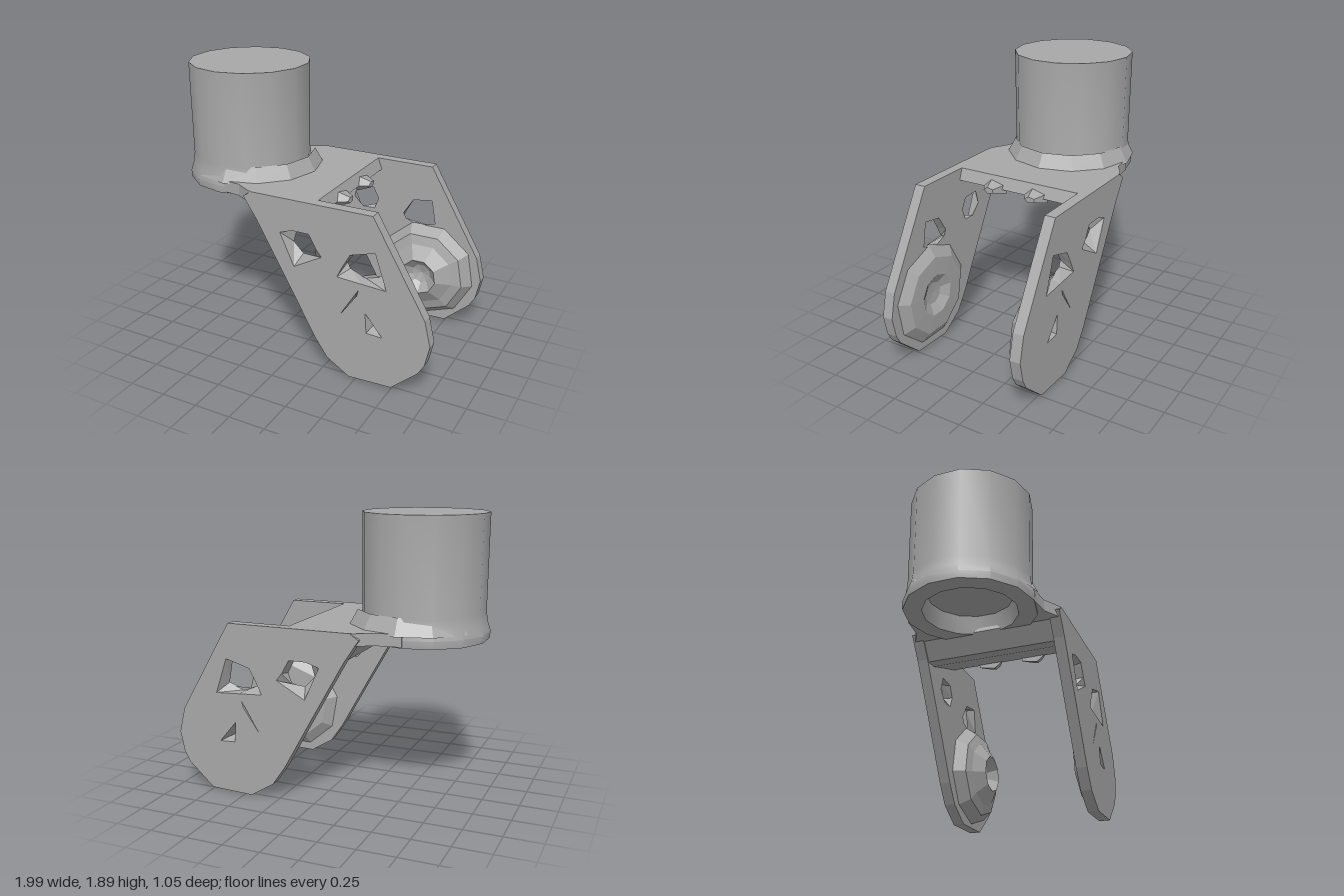
import * as THREE from 'three';
import { toCreasedNormals } from 'three/addons/utils/BufferGeometryUtils.js';

const grey = new THREE.MeshStandardMaterial({ color: 0xa8a8a8 });
grey.name = 'grey metal';

const vecs = (list) => list.map(([x, y]) => new THREE.Vector2(x, y));

function addPart(parent, name, geometry) {
  const mesh = new THREE.Mesh(geometry, grey);
  mesh.name = name;
  parent.add(mesh);
  return mesh;
}

// Non-indexed copy with faceted normals
function faceted(geometry) {
  const g = geometry.index ? geometry.toNonIndexed() : geometry;
  g.computeVertexNormals();
  return g;
}

// Plate whose contours may differ between its outer and inner faces (flared holes)
function flaredPlate(outline, holes, zOut, zIn) {
  const pos = [];
  const face = (side, z, flip) => {
    const shape = new THREE.Shape(vecs(outline));
    holes.forEach((h) => shape.holes.push(new THREE.Path(vecs(h[side]))));
    const p = new THREE.ShapeGeometry(shape).toNonIndexed().attributes.position;
    for (let i = 0; i < p.count; i += 3) {
      for (const k of flip ? [0, 2, 1] : [0, 1, 2]) pos.push(p.getX(i + k), p.getY(i + k), z);
    }
  };
  const wall = (out, inn) => {
    out.forEach((a, i) => {
      const j = (i + 1) % out.length;
      const b = out[j], c = inn[i], d = inn[j];
      pos.push(...a, zOut, ...c, zIn, ...d, zIn, ...a, zOut, ...d, zIn, ...b, zOut);
    });
  };
  face('outer', zOut, false);
  face('inner', zIn, true);
  wall(outline, outline);
  holes.forEach((h) => wall([...h.outer].reverse(), [...h.inner].reverse()));
  const g = new THREE.BufferGeometry();
  g.setAttribute('position', new THREE.Float32BufferAttribute(pos, 3));
  return faceted(g);
}

// Mirror across z, restoring the corner order
function mirrorZ(geometry) {
  const g = geometry.clone(), p = g.attributes.position;
  for (let i = 0; i < p.count; i += 3) {
    const v = [0, 2, 1].map((k) => new THREE.Vector3().fromBufferAttribute(p, i + k));
    v.forEach((q, k) => p.setXYZ(i + k, q.x, q.y, -q.z));
  }
  g.computeVertexNormals();
  return g;
}

export function createModel() {
  const model = new THREE.Group();
  model.name = 'casterFork';

  // Stem with flared foot and a recess underneath
  const stem = new THREE.LatheGeometry(vecs([
    [0, 1.21], [0.28, 1.21], [0.31, 1.09], [0.43, 1.09], [0.435, 1.14],
    [0.415, 1.2], [0.405, 1.27], [0.41, 1.9], [0, 1.9],
  ]), 14);
  addPart(model, 'stem', toCreasedNormals(stem, 0.6)).position.set(-0.565, 0, 0.01);

  // Sloped collar blending the stem into the bridge
  const collar = new THREE.CylinderGeometry(0.395, 0.455, 0.11, 12, 1, true);
  addPart(model, 'collar', faceted(collar)).position.set(-0.525, 1.22, 0);

  // Flat apron from the stem foot to the fork, cut around the recess
  const apron = new THREE.Shape();
  apron.moveTo(-0.565, -0.43);
  [[-0.4, -0.45], [-0.28, -0.52], [0.05, -0.52], [0.05, 0.52], [-0.28, 0.52],
    [-0.4, 0.45], [-0.565, 0.43]].forEach(([x, z]) => apron.lineTo(x, z));
  apron.absarc(-0.565, 0, 0.35, Math.PI / 2, -Math.PI / 2, true);
  const apronGeo = new THREE.ExtrudeGeometry(apron, { depth: 0.08, bevelEnabled: false, curveSegments: 8 });
  apronGeo.rotateX(Math.PI / 2).translate(0, 1.18, 0);
  addPart(model, 'apron', faceted(apronGeo));

  // Bridge between the legs, with a sloped underside
  const bridge = new THREE.Shape(vecs([
    [-0.26, 1.18], [-0.28, 1.1], [-0.2, 0.98], [-0.12, 0.98], [0.1, 1.06], [0.22, 1.1], [0.19, 1.18],
  ]));
  const bridgeGeo = new THREE.ExtrudeGeometry(bridge, { depth: 0.92, bevelEnabled: false });
  addPart(model, 'bridge', faceted(bridgeGeo.translate(0, 0, -0.46)));

  // Ragged teeth on the bridge edge
  for (const z of [-0.15, 0.17]) {
    const tooth = new THREE.CylinderGeometry(0.04, 0.1, 0.09, 5).rotateZ(-Math.PI / 2).scale(1, 0.55, 1);
    addPart(model, 'bridgeTooth', faceted(tooth)).position.set(0.235, 1.1, z);
  }

  // Legs with two flared openings, a pit at the axle and a thin slit
  const outline = [
    [-0.32, 1.14], [-0.22, 0.99], [0, 0.6], [0.2, 0.24], [0.29, 0.11], [0.45, 0.01], [0.75, 0.02],
    [0.93, 0.18], [0.97, 0.25], [1, 0.39], [0.96, 0.56], [0.6, 1.18], [-0.26, 1.18],
  ];
  const holes = [
    {
      outer: [[-0.05, 0.94], [0.05, 0.72], [0.25, 0.83], [0.21, 0.88], [0.16, 0.97], [0.04, 0.97]],
      inner: [[0.01, 0.86], [0.08, 0.79], [0.17, 0.79], [0.2, 0.87], [0.16, 0.95], [0.04, 0.96]],
    },
    {
      outer: [[0.4, 0.8], [0.36, 0.72], [0.53, 0.71], [0.7, 0.7], [0.62, 0.94], [0.45, 0.89]],
      inner: [[0.4, 0.8], [0.42, 0.76], [0.52, 0.72], [0.64, 0.76], [0.61, 0.93], [0.47, 0.91]],
    },
    {
      outer: [[0.57, 0.37], [0.68, 0.365], [0.56, 0.51]],
      inner: [[0.59, 0.4], [0.61, 0.4], [0.59, 0.43]],
    },
    {
      outer: [[0.38, 0.45], [0.5, 0.62], [0.51, 0.66]],
      inner: [[0.45, 0.55], [0.458, 0.556], [0.456, 0.563]],
    },
  ];
  const leg = flaredPlate(outline, holes, 0.525, 0.45);
  addPart(model, 'frontLeg', leg);
  addPart(model, 'backLeg', mirrorZ(leg));

  // Hubs on the inner faces, each with a sunken centre
  const hub = (points) => faceted(new THREE.LatheGeometry(vecs(points), 9));
  const frontHub = addPart(model, 'frontHub', hub([
    [0, 0], [0.36, 0], [0.28, 0.055], [0.15, 0.06], [0.08, 0.02], [0, 0.015],
  ]));
  frontHub.position.set(0.59, 0.4, 0.455);
  frontHub.rotation.x = -Math.PI / 2;
  const backHub = addPart(model, 'backHub', hub([
    [0, 0], [0.36, 0], [0.3, 0.08], [0.23, 0.1], [0.13, 0.165], [0.07, 0.1], [0, 0.08],
  ]));
  backHub.position.set(0.59, 0.4, -0.455);
  backHub.rotation.x = Math.PI / 2;

  return model;
}
